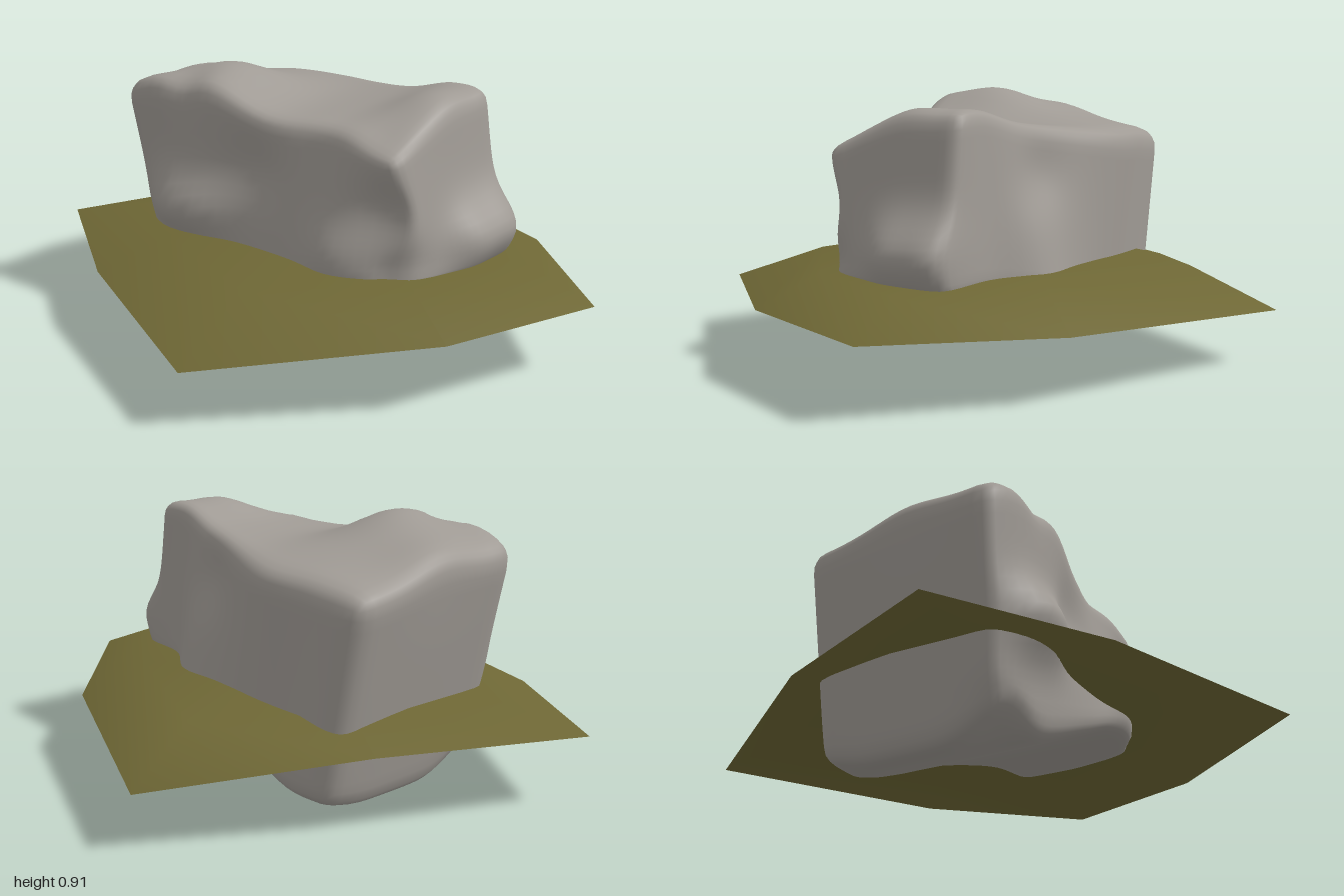
import * as THREE from 'three';
import { mergeVertices } from 'three/addons/utils/BufferGeometryUtils.js';

// Rock sections from back to front:
// [zBottom, zTop, yBottom, yTopLow, yTopHigh, xTopLow, xTopHigh, xBottomLow, xBottomHigh]
// (Low = -x side, High = +x side)
const SECTIONS = [
  [-0.51, -0.665, -0.015, 0.82, 0.74, -0.37, 0.36, -0.31, 0.37],
  [-0.34, -0.45, 0.025, 0.89, 0.77, -0.38, 0.39, -0.33, 0.38],
  [-0.15, -0.24, 0.1, 0.9, 0.78, -0.37, 0.4, -0.34, 0.38],
  [0.05, 0.0, 0.19, 0.81, 0.81, -0.33, 0.32, -0.35, 0.39],
  [0.22, 0.2, 0.26, 0.8, 0.84, -0.28, 0.26, -0.36, 0.39],
  [0.4, 0.38, 0.29, 0.8, 0.89, -0.3, 0.23, -0.34, 0.27],
  [0.61, 0.53, 0.3, 0.78, 0.89, -0.31, 0.23, -0.26, 0.24],
];

// Local swellings and hollows: [x, y, z, radius, dx, dy, dz]
const BUMPS = [
  // nose and hollows of the front
  [0.01, 0.43, 0.59, 0.11, 0, 0, 0.07],
  [0.17, 0.44, 0.59, 0.11, 0.01, 0, 0.08],
  [-0.3, 0.55, 0.5, 0.12, 0.05, 0, 0],
  [-0.28, 0.36, 0.56, 0.09, 0, 0, -0.06],
  // front lip: high in the middle, low on one side
  [0.0, 0.85, 0.47, 0.13, 0, 0.035, 0],
  [-0.3, 0.8, 0.48, 0.11, 0, -0.03, 0],
  // flanks
  [-0.36, 0.42, -0.41, 0.11, -0.07, 0, 0],
  [-0.36, 0.43, -0.27, 0.11, -0.06, 0, 0],
  [-0.34, 0.4, 0.3, 0.1, -0.03, 0, 0],
  [-0.35, 0.6, -0.05, 0.13, 0.04, 0, 0],
  [0.33, 0.66, 0.15, 0.12, -0.03, 0, 0],
  // arched back top
  [-0.13, 0.9, -0.3, 0.16, 0, 0.045, 0],
  [-0.02, 0.8, -0.62, 0.16, 0, 0.04, 0],
  [-0.36, 0.88, -0.35, 0.1, 0.01, -0.04, 0],
  // worn corners of the buried end
  [-0.31, 0.02, -0.45, 0.13, 0, 0.1, 0.01],
  [0.35, 0.02, -0.47, 0.1, 0, 0.03, 0],
];

function catmull(p0, p1, p2, p3, t) {
  return 0.5 * (2 * p1 + (p2 - p0) * t + (2 * p0 - 5 * p1 + 4 * p2 - p3) * t * t
    + (3 * p1 - p0 - 3 * p2 + p3) * t * t * t);
}

function sectionAt(u) {
  const last = SECTIONS.length - 1;
  const f = THREE.MathUtils.clamp(u, 0, 1) * last;
  const i = Math.min(Math.floor(f), last - 1);
  const at = (k) => SECTIONS[THREE.MathUtils.clamp(k, 0, last)];
  return at(i).map((v, k) => catmull(at(i - 1)[k], v, at(i + 1)[k], at(i + 2)[k], f - i));
}

// Rounded block, mapped through the sections and then swollen locally
function rockGeometry() {
  const { lerp } = THREE.MathUtils;
  let geo = new THREE.BoxGeometry(2, 2, 2, 20, 20, 32);
  geo.deleteAttribute('uv');
  geo.deleteAttribute('normal');
  geo = mergeVertices(geo);
  const pos = geo.attributes.position;
  const p = new THREE.Vector3();
  const inner = new THREE.Vector3();
  const edge = 0.18;
  for (let i = 0; i < pos.count; i++) {
    p.fromBufferAttribute(pos, i);
    inner.copy(p).clampScalar(-1 + edge, 1 - edge);
    p.sub(inner).setLength(edge).add(inner);
    const s = (p.x + 1) / 2;
    const t = (p.y + 1) / 2;
    const [zB, zT, yB, yL, yH, xTL, xTH, xBL, xBH] = sectionAt((p.z + 1) / 2);
    p.set(
      lerp(lerp(xBL, xBH, s), lerp(xTL, xTH, s), t),
      lerp(yB, lerp(yL, yH, s), t),
      lerp(zB, zT, t),
    );
    const o = p.clone();
    for (const [x, y, z, r, dx, dy, dz] of BUMPS) {
      const d2 = (o.x - x) ** 2 + (o.y - y) ** 2 + (o.z - z) ** 2;
      const w = Math.exp(-d2 / (r * r));
      p.x += dx * w;
      p.y += dy * w;
      p.z += dz * w;
    }
    pos.setXYZ(i, p.x, Math.max(p.y, 0), p.z);
  }
  geo.computeVertexNormals();
  return geo;
}

// Irregular sheet of soil: nearly flat middle, rim drooping downwards
function groundGeometry() {
  const shoulder = [
    [-0.24, 0.315, -0.7], [-0.45, 0.335, -0.34], [-0.62, 0.33, 0.18], [-0.28, 0.345, 0.6],
    [0.13, 0.34, 0.76], [0.43, 0.345, 0.36], [0.68, 0.33, -0.22], [0.24, 0.33, -0.5],
  ];
  const rim = [
    [-0.34, 0.245, -1], [-0.68, 0.235, -0.46], [-0.97, 0.2, 0.26], [-0.38, 0.245, 0.81],
    [0.17, 0.245, 1], [0.61, 0.225, 0.51], [0.96, 0.19, -0.31], [0.34, 0.26, -0.71],
  ];
  const n = rim.length;
  const verts = [0, 0.35, 0, ...shoulder.flat(), ...rim.flat()];
  const index = [];
  for (let i = 0; i < n; i++) {
    const a = 1 + i;
    const b = 1 + ((i + 1) % n);
    index.push(0, a, b, a, a + n, b + n, a, b + n, b);
  }
  const geo = new THREE.BufferGeometry();
  geo.setAttribute('position', new THREE.Float32BufferAttribute(verts, 3));
  geo.setIndex(index);
  geo.computeVertexNormals();
  return geo;
}

export function createModel() {
  const stone = new THREE.MeshStandardMaterial({ color: 0xa09b95 });
  stone.name = 'grey stone';
  const soil = new THREE.MeshStandardMaterial({ color: 0x6e6735, side: THREE.DoubleSide });
  soil.name = 'olive soil';

  const group = new THREE.Group();
  group.name = 'boulderOnGround';
  const rock = new THREE.Mesh(rockGeometry(), stone);
  rock.name = 'boulder';
  const ground = new THREE.Mesh(groundGeometry(), soil);
  ground.name = 'groundPatch';
  group.add(rock, ground);
  return group;
}
